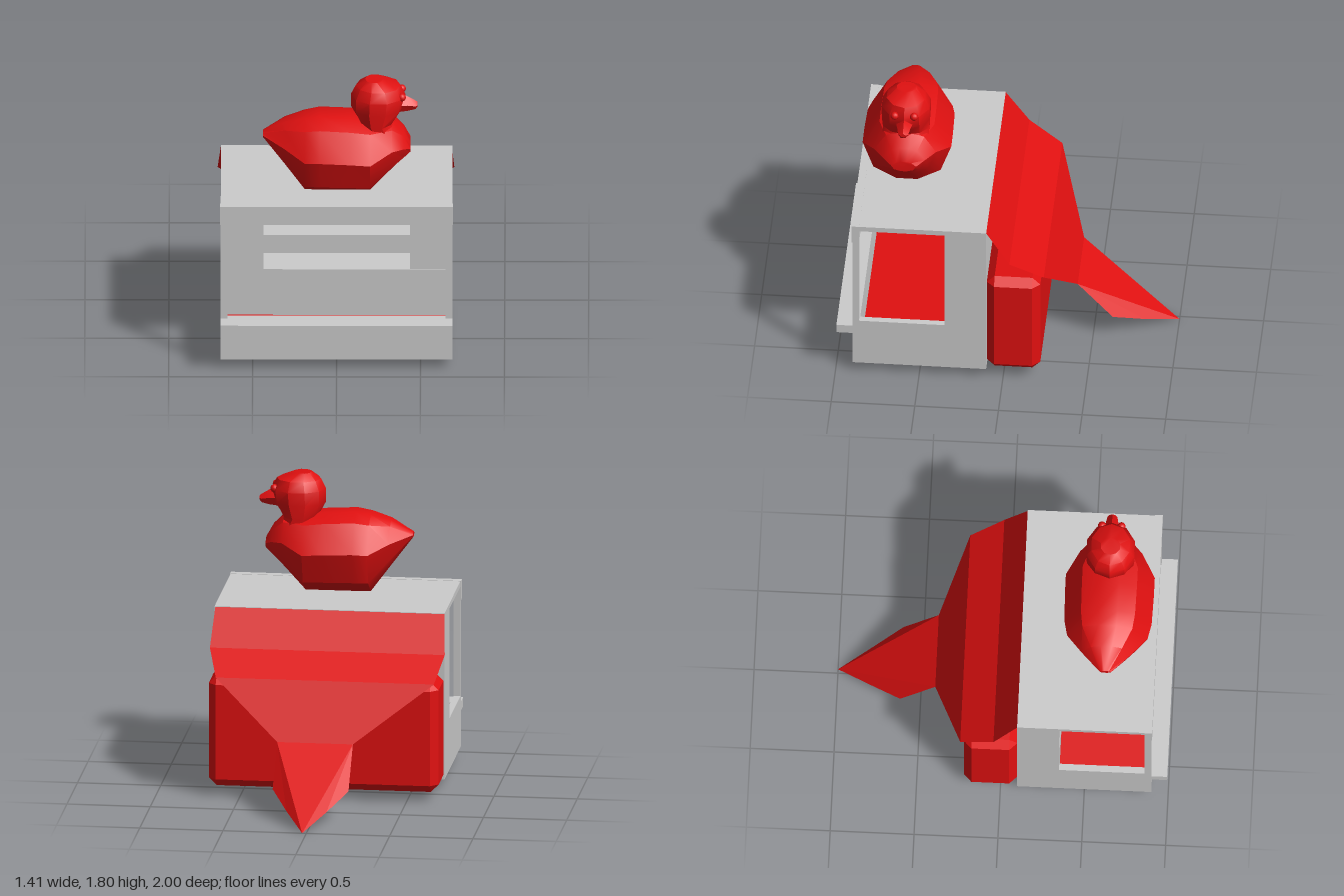
import * as THREE from 'three';
import { toCreasedNormals } from 'three/addons/utils/BufferGeometryUtils.js';
import { ConvexGeometry } from 'three/addons/geometries/ConvexGeometry.js';

const grey = new THREE.MeshStandardMaterial({ color: 0xcccccc });
const red = new THREE.MeshStandardMaterial({ color: 0xe01010 });
const redCloth = new THREE.MeshStandardMaterial({ color: 0xe01010, side: THREE.DoubleSide, flatShading: true });

function add(parent, name, geometry, material = grey) {
  const mesh = new THREE.Mesh(geometry, material);
  mesh.name = name;
  parent.add(mesh);
  return mesh;
}

// Box given by its limits on each axis
function block(parent, name, [x0, x1], [y0, y1], [z0, z1], material) {
  const g = new THREE.BoxGeometry(x1 - x0, y1 - y0, z1 - z0);
  g.translate((x0 + x1) / 2, (y0 + y1) / 2, (z0 + z1) / 2);
  return add(parent, name, g, material);
}

// Skin over closed rings of equal length, capped at both ends
function loft(rings, crease) {
  const n = rings[0].length, index = [];
  const last = (rings.length - 1) * n;
  for (let i = 0; i < rings.length - 1; i++) {
    for (let j = 0; j < n; j++) {
      const a = i * n + j, b = i * n + (j + 1) % n;
      index.push(a, b, b + n, a, b + n, a + n);
    }
  }
  for (let j = 1; j < n - 1; j++) {
    index.push(0, j + 1, j, last, last + j, last + j + 1);
  }
  const g = new THREE.BufferGeometry();
  g.setAttribute('position', new THREE.Float32BufferAttribute(rings.flat(2), 3));
  g.setIndex(index);
  return toCreasedNormals(g, crease);
}

function makeBooth() {
  const booth = new THREE.Group();
  booth.name = 'booth';
  block(booth, 'floor', [-0.68, 0.68], [0.062, 0.08], [0.13, 0.89], red);
  block(booth, 'roof', [-0.69, 0.69], [1.055, 1.088], [0.1, 0.9]);
  block(booth, 'backWall', [-0.69, 0.69], [0.065, 1.085], [0.1, 0.135]);
  block(booth, 'frontPanel', [-0.69, 0.69], [0.065, 0.34], [0.86, 0.9]);
  block(booth, 'header', [-0.693, 0.693], [0.97, 1.09], [0.86, 0.905]);
  block(booth, 'counter', [-0.69, 0.69], [0.285, 0.34], [0.86, 0.995]);

  // Side walls, each with a window opening
  for (const s of [-1, 1]) {
    const x = s < 0 ? [-0.69, -0.65] : [0.65, 0.69];
    block(booth, 'sideLowerWall', x, [0.065, 0.38], [0.13, 0.87]);
    block(booth, 'sideRearWall', x, [0.38, 1.06], [0.13, 0.35]);
    block(booth, 'frontPost', x, [0.34, 0.98], [0.86, 0.9]);
    const cab = s < 0 ? [-0.65, -0.435] : [0.435, 0.65];
    block(booth, 'cabinet', cab, [0.385, 1.055], [0.13, 0.345]);
  }

  // Rear bench and shelves
  block(booth, 'rearBench', [-0.65, 0.65], [0.08, 0.385], [0.13, 0.348]);
  for (const y of [0.58, 0.81]) {
    block(booth, 'shelf', [-0.435, 0.435], [y, y + 0.03], [0.13, 0.34]);
  }
  return booth;
}

// Chamfered pack behind the booth
function makePack() {
  const half = [0.69, 0.3375, 0.16], c = 0.047, points = [];
  for (const x of [-1, 1]) for (const y of [-1, 1]) for (const z of [-1, 1]) {
    for (let full = 0; full < 3; full++) {
      const p = [x, y, z].map((s, k) => s * (half[k] - (k === full ? 0 : c)));
      points.push(new THREE.Vector3(...p));
    }
  }
  return new ConvexGeometry(points).translate(0, 0.3975, -0.06);
}

// Draped cloth with a pointed tail whose sides fold down
function makeCloth() {
  const rows = [
    [-0.69, 0.685, 1.085, 0.1], [-0.71, 0.7, 0.87, -0.04], [-0.67, 0.64, 0.74, -0.24],
    [-0.205, 0.25, 0.4, -0.41], [-0.205, 0.25, 0.165, -0.62], [-0.095, 0.145, 0.08, -0.8],
  ];
  const p = rows.flatMap(([l, r, y, z]) => [l, y, z, r, y, z]);
  p.push(0.025, 0, -1);
  const index = [];
  for (let i = 0; i < 6; i += 2) index.push(i, i + 1, i + 3, i, i + 3, i + 2);
  index.push(6, 7, 12);
  for (const s of [0, 1]) {
    const a = 6 + s, b = 8 + s, c = 10 + s;
    index.push(...(s ? [a, b, c, a, c, 12] : [a, c, b, a, 12, c]));
  }
  const g = new THREE.BufferGeometry();
  g.setAttribute('position', new THREE.Float32BufferAttribute(p, 3));
  g.setIndex(index);
  g.computeVertexNormals();
  return g;
}

function makeDuck() {
  const duck = new THREE.Group();
  duck.name = 'duck';

  // Body sections from tail to chest: x, half width, bottom, top
  const profile = [[0.22, 1], [0.62, 0.91], [1, 0.56], [0.76, 0.17], [0.24, 0]];
  const body = [
    [-0.44, 0.035, 1.42, 1.45], [-0.31, 0.15, 1.25, 1.525], [-0.19, 0.24, 1.09, 1.56],
    [-0.1, 0.26, 1.09, 1.575], [0.08, 0.265, 1.09, 1.565], [0.2, 0.265, 1.09, 1.55],
    [0.33, 0.185, 1.225, 1.54], [0.4, 0.125, 1.29, 1.47], [0.44, 0.075, 1.33, 1.4],
  ].map(([x, w, y0, y1]) => {
    const side = profile.map(([z, y]) => [x, y0 + y * (y1 - y0), z * w]);
    return [...side, ...side.map(([a, b, c]) => [a, b, -c]).reverse()];
  });
  add(duck, 'body', loft(body, 0.6), red);

  // Neck and head rings from below: y, back x, front x, half width
  const head = [
    [1.46, 0.16, 0.38, 0.145], [1.535, 0.13, 0.345, 0.145], [1.62, 0.085, 0.4, 0.15],
    [1.7, 0.085, 0.41, 0.15], [1.76, 0.115, 0.38, 0.12], [1.8, 0.17, 0.28, 0.06],
  ].map(([y, x0, x1, w]) => Array.from({ length: 10 }, (_, j) => {
    const t = (j / 10) * Math.PI * 2;
    return [(x0 + x1) / 2 + Math.cos(t) * (x1 - x0) / 2, y, -Math.sin(t) * w];
  }));
  add(duck, 'head', loft(head, 0.6), red);

  // Beak sections: x, half width, bottom, top
  const beak = [[0.36, 0.055, 1.59, 1.7], [0.42, 0.04, 1.595, 1.685], [0.47, 0.03, 1.605, 1.655], [0.483, 0.018, 1.62, 1.645]]
    .map(([x, w, y0, y1]) => [[x, y1, 0], [x, (y0 + y1) / 2, w], [x, y0, w * 0.5], [x, y0, -w * 0.5], [x, (y0 + y1) / 2, -w]]);
  add(duck, 'beak', loft(beak, 0.5), red);

  for (const s of [-1, 1]) {
    add(duck, 'eye', new THREE.SphereGeometry(0.025, 10, 8), red).position.set(0.388, 1.705, s * 0.058);
  }
  duck.position.z = 0.615;
  return duck;
}

export function createModel() {
  const model = new THREE.Group();
  model.name = 'duckStall';
  model.add(makeBooth(), makeDuck());
  add(model, 'pack', makePack(), red);
  add(model, 'cloth', makeCloth(), redCloth);
  return model;
}
